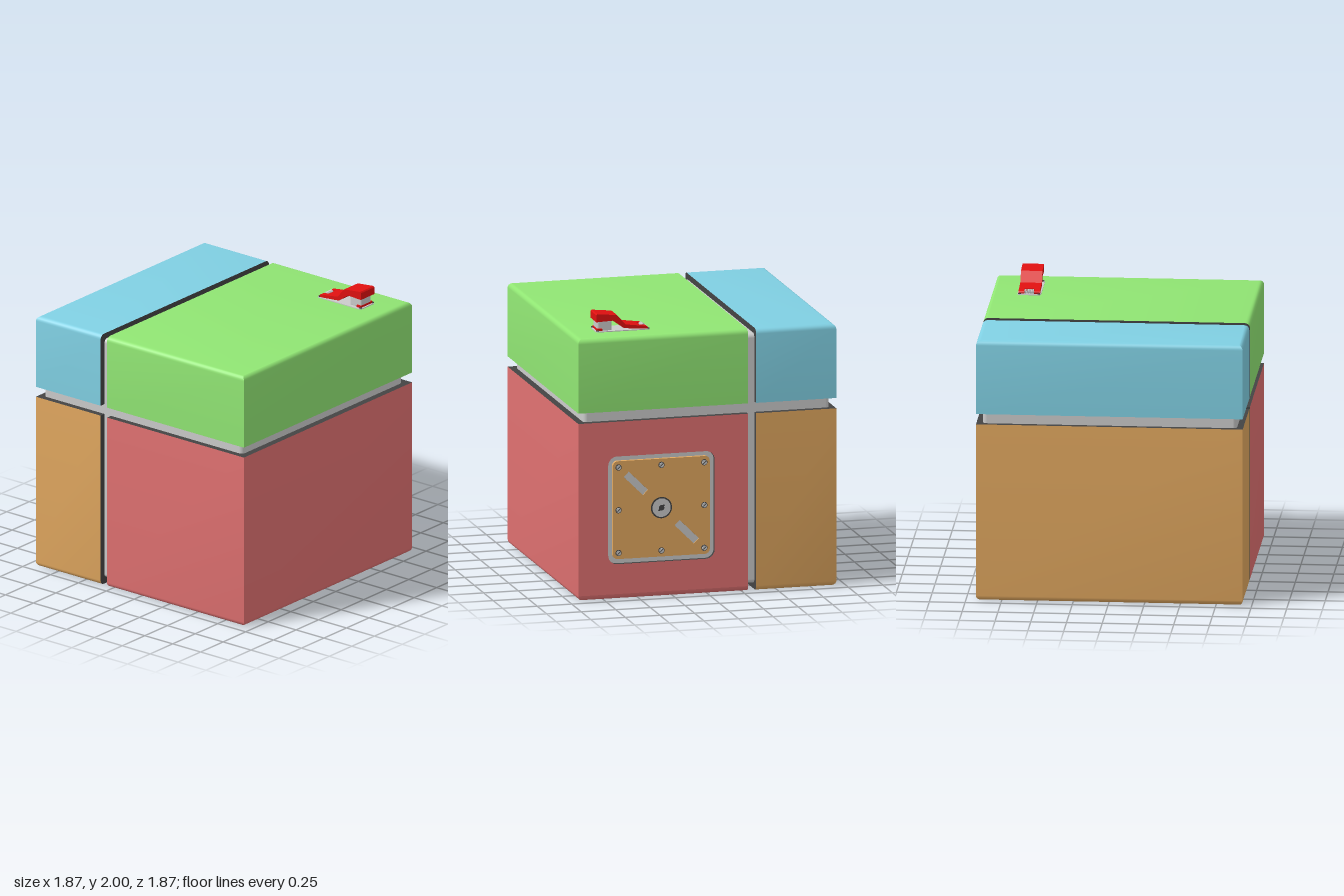
import * as THREE from 'three';
import { toCreasedNormals } from 'three/addons/utils/BufferGeometryUtils.js';
import { RoundedBoxGeometry } from 'three/addons/geometries/RoundedBoxGeometry.js';

const mat = (color) => new THREE.MeshStandardMaterial({ color });
const grey = mat(0xcccccc), dark = mat(0x444444), red = mat(0xe27272), green = mat(0x90e573),
  blue = mat(0x80d0e3), orange = mat(0xe3a960), leverRed = mat(0xe01010);

const X0 = -0.937, X1 = 0.929, Z = 0.933, ROUND = 0.035;
const HATCH = { z: 0.332, y: 0.634, outer: 0.77, inner: 0.7 };

function add(parent, name, geometry, material, x = 0, y = 0, z = 0) {
  const mesh = new THREE.Mesh(geometry, material);
  mesh.name = name;
  mesh.position.set(x, y, z);
  parent.add(mesh);
  return mesh;
}

function roundedRect(Type, cx, cy, w, h, r) {
  const s = new Type(), a = cx - w / 2, b = cx + w / 2, c = cy - h / 2, d = cy + h / 2;
  s.moveTo(a + r, c);
  s.lineTo(b - r, c).absarc(b - r, c + r, r, -Math.PI / 2, 0, false);
  s.lineTo(b, d - r).absarc(b - r, d - r, r, 0, Math.PI / 2, false);
  s.lineTo(a + r, d).absarc(a + r, d - r, r, Math.PI / 2, Math.PI, false);
  s.lineTo(a, c + r).absarc(a + r, c + r, r, Math.PI, Math.PI * 1.5, false);
  return s;
}

function extrude(shape, depth) {
  return new THREE.ExtrudeGeometry(shape, { depth, bevelEnabled: false, curveSegments: 8 });
}

// Block rounded along its outer top or bottom rim; faces towards the seams are dark
function block(parent, name, material, y0, y1, z0, z1, hasHatch = false) {
  const top = y0 > 1, gapFront = z1 < 0, rings = [];
  const ring = (y, i) => {
    const f = gapFront ? z1 : z1 - i, b = gapFront ? z0 + i : z0;
    rings.push([[X0 + i, y, f], [X1 - i, y, f], [X1 - i, y, b], [X0 + i, y, b]]);
  };
  const steps = 5;
  if (top) ring(y0, 0);
  for (let k = 0; k <= steps; k++) {
    const a = (k / steps) * Math.PI / 2;
    if (top) ring(y1 - ROUND + ROUND * Math.sin(a), ROUND * (1 - Math.cos(a)));
    else ring(y0 + ROUND - ROUND * Math.cos(a), ROUND * (1 - Math.sin(a)));
  }
  if (!top) ring(y1, 0);

  const painted = [], seam = [];
  const quad = (list, a, b, c, d) => list.push(...a, ...b, ...c, ...a, ...c, ...d);
  const gapSide = gapFront ? 0 : 2, last = rings.length - 1;
  for (let r = 0; r < last; r++) {
    for (let k = 0; k < 4; k++) {
      if (hasHatch && k === 1 && r === last - 1) continue;
      const n = (k + 1) % 4;
      quad(k === gapSide ? seam : painted, rings[r][k], rings[r][n], rings[r + 1][n], rings[r + 1][k]);
    }
  }
  quad(top ? painted : seam, ...rings[last]);
  quad(top ? seam : painted, ...[...rings[0]].reverse());

  const group = new THREE.Group();
  group.name = name;
  parent.add(group);
  const build = (list) => {
    const g = new THREE.BufferGeometry();
    g.setAttribute('position', new THREE.Float32BufferAttribute(list, 3));
    return toCreasedNormals(g, 0.5);
  };
  add(group, name + 'Shell', build(painted), material);
  add(group, name + 'SeamFaces', build(seam), dark);
  return group;
}

// Disc whose axis points out of the hatch
function disc(r, depth, sides = 24) {
  return new THREE.CylinderGeometry(r, r, depth, sides).rotateX(Math.PI / 2);
}

// Hatch space: x runs to the back, y up, z out of the right-hand wall
function createHatch() {
  const hatch = new THREE.Group();
  hatch.name = 'accessHatch';
  hatch.rotation.y = Math.PI / 2;
  hatch.position.set(X1, HATCH.y, HATCH.z);
  const { outer, inner } = HATCH;

  // Wall of the block with the hatch opening cut out
  const bottom = ROUND - HATCH.y, topY = 1.268 - HATCH.y;
  const left = HATCH.z - Z, right = HATCH.z + 0.294;
  const wall = new THREE.Shape([[left, bottom], [right, bottom], [right, topY], [left, topY]]
    .map(([x, y]) => new THREE.Vector2(x, y)));
  wall.holes.push(roundedRect(THREE.Path, 0, 0, outer, outer, 0.065));
  add(hatch, 'hatchWall', new THREE.ShapeGeometry(wall, 8), red);

  // Recess around the door
  const rim = roundedRect(THREE.Shape, 0, 0, outer + 0.02, outer + 0.02, 0.075);
  rim.holes.push(roundedRect(THREE.Path, 0, 0, outer, outer, 0.065));
  add(hatch, 'recessRim', extrude(rim, 0.034), dark, 0, 0, -0.036);
  add(hatch, 'recessFloor', new THREE.ShapeGeometry(roundedRect(THREE.Shape, 0, 0, outer, outer, 0.065)), grey, 0, 0, -0.03);

  // Door with two diagonal finger slots
  const door = roundedRect(THREE.Shape, 0, 0, inner, inner, 0.035);
  const slots = [1, -1];
  for (const s of slots) {
    const c = new THREE.Vector2(-0.184 * s, 0.184 * s);
    const corners = [[-0.098, -0.026], [0.098, -0.026], [0.098, 0.026], [-0.098, 0.026]];
    door.holes.push(new THREE.Path(corners.map(([x, y]) =>
      new THREE.Vector2(x, y).rotateAround(new THREE.Vector2(), -Math.PI / 4).add(c))));
  }
  add(hatch, 'door', extrude(door, 0.025), orange, 0, 0, -0.028);
  for (const s of slots) {
    const pull = add(hatch, 'fingerPull', new THREE.BoxGeometry(0.194, 0.05, 0.012), grey, -0.184 * s, 0.184 * s, -0.014);
    pull.rotation.z = -Math.PI / 4;
  }

  // Screws around the edge
  for (const x of [-0.31, 0, 0.31]) for (const y of [-0.306, 0, 0.306]) {
    if (x === 0 && y === 0) continue;
    add(hatch, 'screwWasher', disc(0.022, 0.006, 16), dark, x, y, -0.001);
    add(hatch, 'screwHead', disc(0.017, 0.01, 16), grey, x, y, 0.002);
    const slot = add(hatch, 'screwSlot', new THREE.BoxGeometry(0.028, 0.005, 0.002), dark, x, y, 0.007);
    slot.rotation.z = Math.PI / 4;
  }

  // Lock in the middle
  add(hatch, 'lockRing', disc(0.076, 0.006, 32), dark, 0, 0, -0.002);
  add(hatch, 'lockFace', disc(0.066, 0.006, 32), grey, 0, 0, 0);
  add(hatch, 'keyhole', disc(0.02, 0.002), dark, 0, 0, 0.003);
  const key = add(hatch, 'keySlot', new THREE.BoxGeometry(0.058, 0.012, 0.002), dark, 0, 0, 0.003);
  key.rotation.z = Math.PI / 4;
  return hatch;
}

// Spring latch on the lid
function createLatch() {
  const latch = new THREE.Group();
  latch.name = 'latch';
  latch.position.set(0.662, 1.87, 0);
  const plate = extrude(roundedRect(THREE.Shape, 0, 0, 0.165, 0.39, 0.02), 0.006).rotateX(-Math.PI / 2);
  add(latch, 'basePlate', plate, grey, 0, 0, 0.557);
  for (const x of [-0.068, 0.068]) for (const z of [0.375, 0.74]) {
    add(latch, 'plateRivet', new THREE.CylinderGeometry(0.01, 0.01, 0.006, 12), dark, x, 0.008, z);
  }
  add(latch, 'post', new RoundedBoxGeometry(0.11, 0.082, 0.105, 3, 0.012), grey, 0, 0.039, 0.685);
  add(latch, 'postFoot', new THREE.BoxGeometry(0.13, 0.018, 0.035), leverRed, 0, 0.012, 0.722);

  // Side profile in (z, height), swept across the width; the middle stops short of the hinge
  const lever = (name, tail, width, x) => {
    const profile = [[0.742, 0.13], [0.6, 0.115], [0.54, 0.045], ...tail, [0.55, 0.019],
      [0.632, 0.077], [0.75, 0.072], [0.75, 0.122]];
    const s = new THREE.Shape(profile.map(([z, y]) => new THREE.Vector2(-z, y)));
    add(latch, name, extrude(s, width).translate(0, 0, -width / 2).rotateY(Math.PI / 2), leverRed, x);
  };
  const full = [[0.384, 0.024], [0.376, 0.016], [0.38, 0.004]];
  lever('leverMiddle', [[0.43, 0.03], [0.43, 0.008]], 0.07, 0);
  for (const s of [-1, 1]) lever('leverSide', full, 0.04, s * 0.055);
  for (let i = 0; i < 6; i++) {
    const coil = new THREE.TorusGeometry(0.012, 0.005, 6, 14).rotateY(Math.PI / 2);
    add(latch, 'hingeSpring', coil, grey, -0.028 + i * 0.0112, 0.018, 0.402);
  }
  return latch;
}

export function createModel() {
  const model = new THREE.Group();
  model.name = 'storageCube';
  // Inner body seen in the seams
  add(model, 'innerBody', new RoundedBoxGeometry(1.778, 1.785, 1.781, 4, 0.03), grey, -0.005, 0.935, -0.006);
  block(model, 'lowerFrontBlock', red, 0, 1.268, -0.294, Z, true);
  block(model, 'lowerBackBlock', orange, 0, 1.268, -Z, -0.352);
  block(model, 'upperFrontBlock', green, 1.342, 1.87, -0.294, Z);
  block(model, 'upperBackBlock', blue, 1.342, 1.87, -Z, -0.352);
  model.add(createHatch(), createLatch());
  return model;
}
